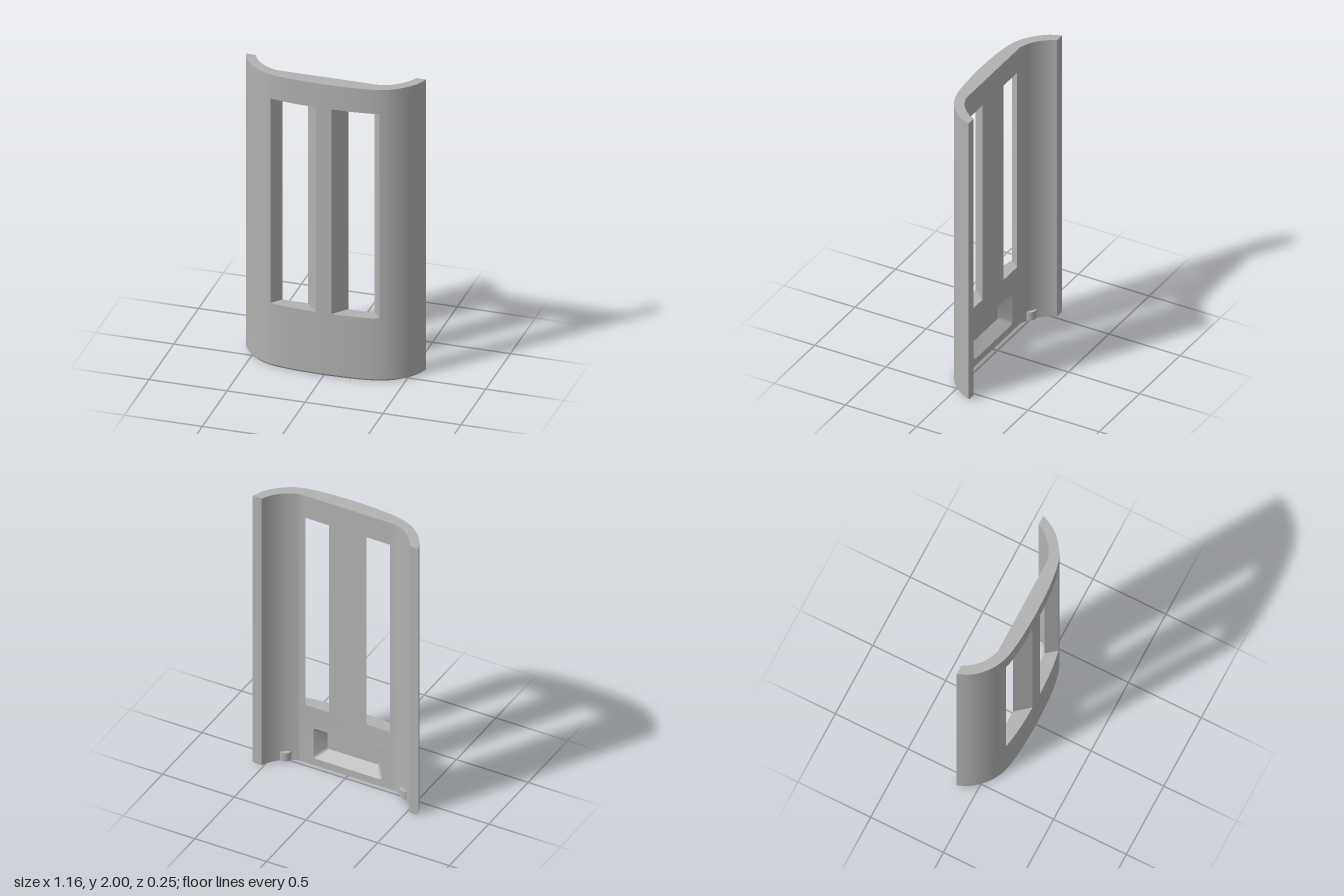
import * as THREE from 'three';
import { toCreasedNormals } from 'three/addons/utils/BufferGeometryUtils.js';

const H = 2, BACK = 0.03, TIP = -0.126;
const SILL = 0.43, HEAD = 1.835, BEVEL = 0.012;
const WIN_FRONT = [0.05, 0.35], WIN_BACK = [0.13, 0.295];
const FLAT = 0.335;

const V2 = (x, y) => new THREE.Vector2(x, y);
const V3 = (x, y, z) => new THREE.Vector3(x, y, z);

// triangle collector with quads and filled outlines
function surface() {
  const pos = [];
  const tri = (...vs) => vs.forEach(v => pos.push(v.x, v.y, v.z));
  const quad = (a, b, c, d) => { tri(a, b, c); tri(a, c, d); };
  const fill = (outline, holes, to3D, dir) => {
    const all = [outline, ...holes].flat().map(to3D);
    for (const [i, j, k] of THREE.ShapeUtils.triangulateShape(outline, holes)) {
      const [a, b, c] = [all[i], all[j], all[k]];
      const n = b.clone().sub(a).cross(c.clone().sub(a));
      if (n.dot(dir) > 0) tri(a, b, c); else tri(a, c, b);
    }
  };
  const build = () => {
    const g = new THREE.BufferGeometry();
    g.setAttribute('position', new THREE.Float32BufferAttribute(pos, 3));
    return toCreasedNormals(g, 0.45);
  };
  return { quad, fill, build };
}

// rounded rectangle, counter-clockwise
function roundedRect(x, y0, y1, r) {
  const pts = [];
  const corners = [[x - r, y1 - r], [-x + r, y1 - r], [-x + r, y0 + r], [x - r, y0 + r]];
  corners.forEach(([cx, cy], q) => {
    for (let i = 0; i <= 4; i++) {
      const t = (q + i / 4) * Math.PI / 2;
      pts.push(V2(cx + r * Math.cos(t), cy + r * Math.sin(t)));
    }
  });
  return pts;
}

export function createModel() {
  const group = new THREE.Group();
  const grey = new THREE.MeshStandardMaterial({ color: 0xb2b2b2 });
  grey.name = 'grey';

  // plan of the curved front, left to right (x, z)
  const half = [[0.05, 0.125], [0.15, 0.1215], [0.25, 0.113], [0.35, 0.095],
    [0.43, 0.06], [0.5, 0.004], [0.55, -0.06], [0.578, TIP]];
  const ctrl = [...half.map(([x, z]) => V2(-x, z)).reverse(), V2(0, 0.126), ...half.map(([x, z]) => V2(x, z))];
  const outer = new THREE.SplineCurve(ctrl).getPoints((ctrl.length - 1) * 5);

  // plan of the back, right to left: curved flank, flat middle, curved flank
  const flank = new THREE.SplineCurve([V2(0.515, TIP), V2(0.493, -0.085), V2(0.453, -0.037),
    V2(0.4, 0.003), V2(FLAT, BACK)]).getPoints(16);
  const flat = [0.295, 0.13, -0.13, -0.295].map(x => V2(x, BACK));
  const inner = [...flank, ...flat, ...flank.map(p => V2(-p.x, p.y)).reverse()];
  const loop = [...outer, ...inner];
  const foot = loop.map((p, i) => i < outer.length ? V2(p.x * 0.986, Math.max(p.y - 0.008, TIP)) : p);

  const s = surface();
  const at = y => p => V3(p.x, y, p.y);

  // walls in bands, leaving out the windows and the lower back panel
  const levels = [0, BEVEL, SILL, HEAD, H];
  loop.forEach((p, i) => {
    const j = (i + 1) % loop.length, q = loop[j];
    const mid = Math.abs(p.x + q.x) / 2;
    const onFront = i < outer.length - 1;
    const onFlat = !onFront && Math.abs(p.y - BACK) < 1e-5 && Math.abs(q.y - BACK) < 1e-5;
    const [w0, w1] = onFront ? WIN_FRONT : WIN_BACK;
    const isWindow = (onFront || onFlat) && mid > w0 && mid < w1;
    for (let b = 0; b < 4; b++) {
      if ((b === 2 && isWindow) || (b < 2 && onFlat)) continue;
      const low = b === 0 ? foot : loop;
      const y0 = at(levels[b]), y1 = at(levels[b + 1]);
      s.quad(y0(low[i]), y0(low[j]), y1(q), y1(p));
    }
  });

  // top and bottom edges
  s.fill(loop, [], at(H), V3(0, 1, 0));
  s.fill(foot, [], at(0), V3(0, -1, 0));

  // window reveals with splayed sides
  for (const side of [-1, 1]) {
    const front = outer.filter(p => side * p.x > WIN_FRONT[0] - 1e-5 && side * p.x < WIN_FRONT[1] + 1e-5);
    const back = WIN_BACK.map(x => V2(side * x, BACK)).sort((a, b) => b.x - a.x);
    const plan = [...front, ...back];
    const lo = at(SILL), hi = at(HEAD);
    s.fill(plan, [], lo, V3(0, 1, 0));
    s.fill(plan, [], hi, V3(0, -1, 0));
    for (const [a, b] of [[front[front.length - 1], back[0]], [back[1], front[0]]])
      s.quad(lo(b), lo(a), hi(a), hi(b));
  }

  // lower back panel with a tapered pocket
  const rim = roundedRect(0.24, 0.05, 0.275, 0.02);
  const floor = roundedRect(0.178, 0.1, 0.235, 0.012);
  const depth = z => p => V3(p.x, p.y, z);
  const inward = depth(BACK), deep = depth(BACK + 0.07), toBack = V3(0, 0, -1);
  const panel = [V2(-FLAT, 0), V2(FLAT, 0), V2(FLAT, SILL), V2(-FLAT, SILL)];
  s.fill(panel, [rim], inward, toBack);
  s.fill(floor, [], deep, toBack);
  rim.forEach((a, i) => {
    const j = (i + 1) % rim.length;
    s.quad(inward(rim[j]), inward(a), deep(floor[i]), deep(floor[j]));
  });

  const cover = new THREE.Mesh(s.build(), grey);
  cover.name = 'curvedCover';
  group.add(cover);

  // locating pegs at the foot of the flanks
  for (const side of [-1, 1]) {
    const peg = new THREE.Mesh(new THREE.CylinderGeometry(0.039, 0.039, 0.06, 32), grey);
    peg.name = side > 0 ? 'leftPeg' : 'rightPeg';
    peg.position.set(side * 0.422, 0.035, 0.008);
    group.add(peg);
  }
  return group;
}
